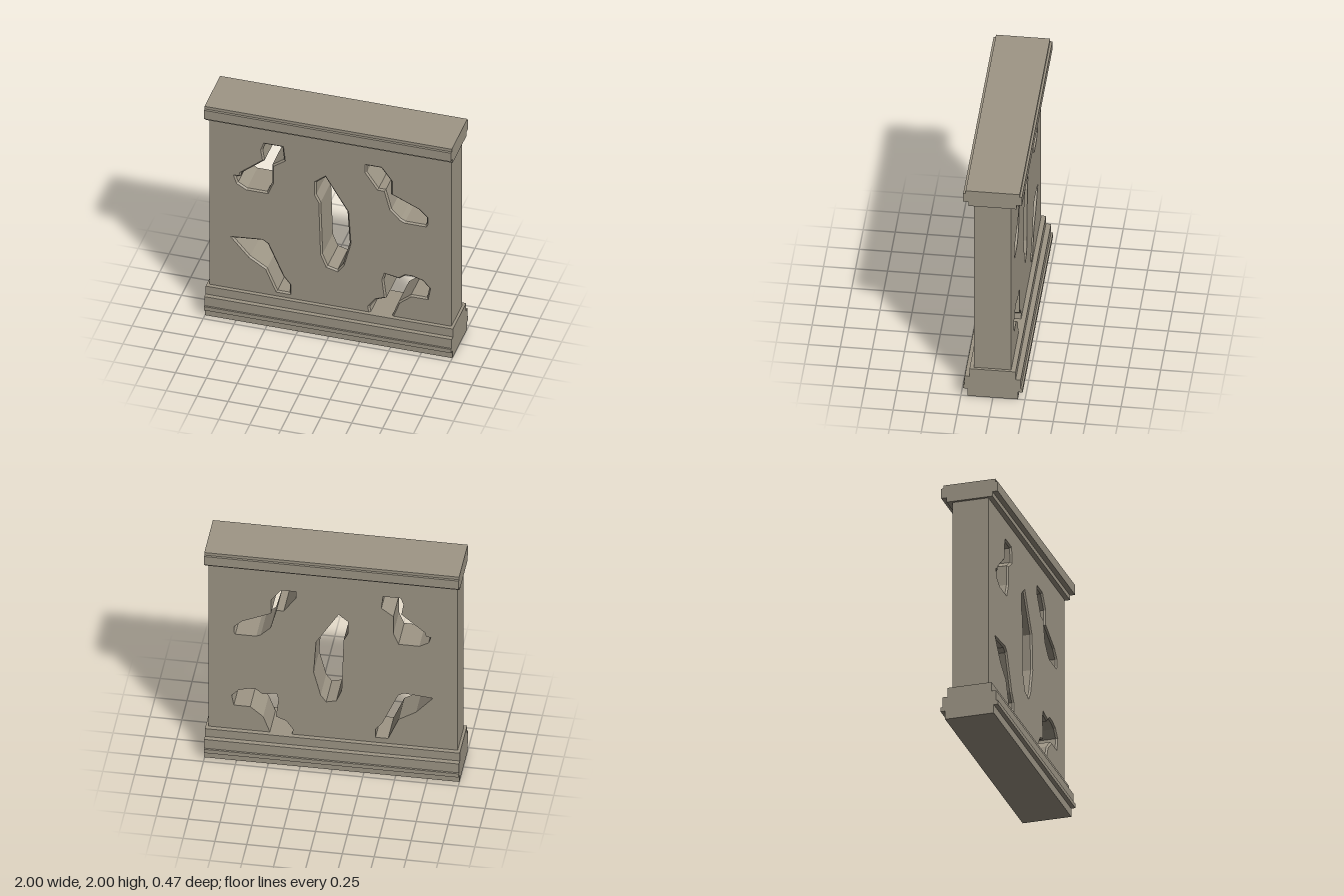
import * as THREE from 'three';

const FRONT = 0.15, BACK = -0.14, BEVEL = 0.013;

// Openings in the panel, clockwise, as [x, y] on the front face
const openings = {
  upperRightOpening: [[-.54, 1.70], [-.38, 1.70], [-.365, 1.565], [-.46, 1.495], [-.46, 1.335], [-.505, 1.225], [-.68, 1.225],
    [-.76, 1.27], [-.785, 1.345], [-.74, 1.35], [-.735, 1.38], [-.55, 1.535], [-.565, 1.63]],
  upperLeftOpening: [[.28, 1.665], [.415, 1.665], [.50, 1.55], [.50, 1.425], [.725, 1.325], [.79, 1.26], [.79, 1.195],
    [.775, 1.17], [.60, 1.17], [.56, 1.19], [.48, 1.27], [.435, 1.44], [.38, 1.44], [.28, 1.585]],
  centreOpening: [[-.04, 1.49], [.147, 1.185], [.166, .885], [.11, .665], [.06, .595], [-.035, .62], [-.08, .73],
    [-.095, 1.22], [-.13, 1.29], [-.13, 1.415]],
  lowerRightOpening: [[-.81, .755], [-.55, .78], [-.50, .75], [-.375, .465], [-.32, .395], [-.32, .30], [-.44, .30],
    [-.525, .50], [-.66, .585]],
  lowerLeftOpening: [[.435, .66], [.55, .64], [.60, .68], [.665, .68], [.75, .655], [.81, .59], [.79, .48], [.655, .48],
    [.56, .40], [.51, .265], [.49, .20], [.33, .20], [.31, .265], [.30, .315], [.36, .40], [.435, .43], [.415, .595]],
};

const toPoints = (list) => list.map(([x, y]) => new THREE.Vector2(x, y));

// Shrink a clockwise loop by a mitred offset
function inset(loop, d) {
  const n = loop.length;
  const normal = (a, b) => new THREE.Vector2(b.y - a.y, a.x - b.x).normalize();
  return loop.map((p, i) => {
    const n1 = normal(loop[(i + n - 1) % n], p);
    const n2 = normal(p, loop[(i + 1) % n]);
    return n1.clone().add(n2).multiplyScalar(d / Math.max(0.3, 1 + n1.dot(n2))).add(p);
  });
}

// Flat-sided band through a stack of { loop, z } sections, front to back
function band(sections) {
  const pos = [];
  for (let s = 0; s < sections.length - 1; s++) {
    const f = sections[s], b = sections[s + 1], n = f.loop.length;
    for (let i = 0; i < n; i++) {
      const j = (i + 1) % n;
      const pF = [f.loop[i].x, f.loop[i].y, f.z], qF = [f.loop[j].x, f.loop[j].y, f.z];
      const pB = [b.loop[i].x, b.loop[i].y, b.z], qB = [b.loop[j].x, b.loop[j].y, b.z];
      pos.push(...pF, ...pB, ...qF, ...qF, ...pB, ...qB);
    }
  }
  const g = new THREE.BufferGeometry();
  g.setAttribute('position', new THREE.Float32BufferAttribute(pos, 3));
  g.computeVertexNormals();
  return g;
}

// Flat face with holes
function face(outline, holes, z, faceBack) {
  const shape = new THREE.Shape(outline);
  shape.holes = holes.map((h) => new THREE.Path(h));
  const g = new THREE.ShapeGeometry(shape);
  if (faceBack) g.index.array.reverse();
  g.computeVertexNormals();
  return g.translate(0, 0, z);
}

// Stepped moulding along x from tiers of [bottom, top, zBack, zFront]
function moulding(tiers) {
  const front = tiers.flatMap(([y0, y1, , z]) => [[z, y0], [z, y1]]);
  const back = tiers.flatMap(([y0, y1, z]) => [[z, y0], [z, y1]]).reverse();
  const shape = new THREE.Shape(toPoints([...front, ...back]));
  return new THREE.ExtrudeGeometry(shape, { depth: 2, bevelEnabled: false })
    .translate(0, 0, -1).rotateY(-Math.PI / 2);
}

export function createModel() {
  const group = new THREE.Group();
  const stone = new THREE.MeshStandardMaterial({ color: 0x9e9686 });
  stone.name = 'stone';
  const add = (name, geometry, parent = group) => {
    const mesh = new THREE.Mesh(geometry, stone);
    mesh.name = name;
    parent.add(mesh);
  };

  // Pierced panel: front, back, ends and the walls of each opening
  const panel = new THREE.Group();
  panel.name = 'piercedPanel';
  group.add(panel);
  const outline = toPoints([[-.978, .1], [.978, .1], [.978, 1.9], [-.978, 1.9]]);
  const outer = Object.values(openings).map(toPoints);
  const inner = outer.map((loop) => inset(loop, BEVEL));
  add('panelFront', face(outline, outer, FRONT, false), panel);
  add('panelBack', face(outline, inner, BACK, true), panel);
  add('panelEnds', band([{ loop: outline, z: FRONT }, { loop: outline, z: BACK }]), panel);
  Object.keys(openings).forEach((name, i) => add(name, band([
    { loop: outer[i], z: FRONT },
    { loop: inner[i], z: FRONT - BEVEL },
    { loop: inner[i], z: BACK },
  ]), panel));

  // Stepped plinth and coping
  add('plinth', moulding([
    [0, .07, -.195, .20],
    [.07, .105, -.232, .234],
    [.105, .19, -.217, .22],
    [.19, .265, -.177, .183],
  ]));
  add('coping', moulding([
    [1.855, 1.893, -.183, .19],
    [1.893, 1.975, -.227, .232],
    [1.975, 2, -.209, .213],
  ]));
  return group;
}
